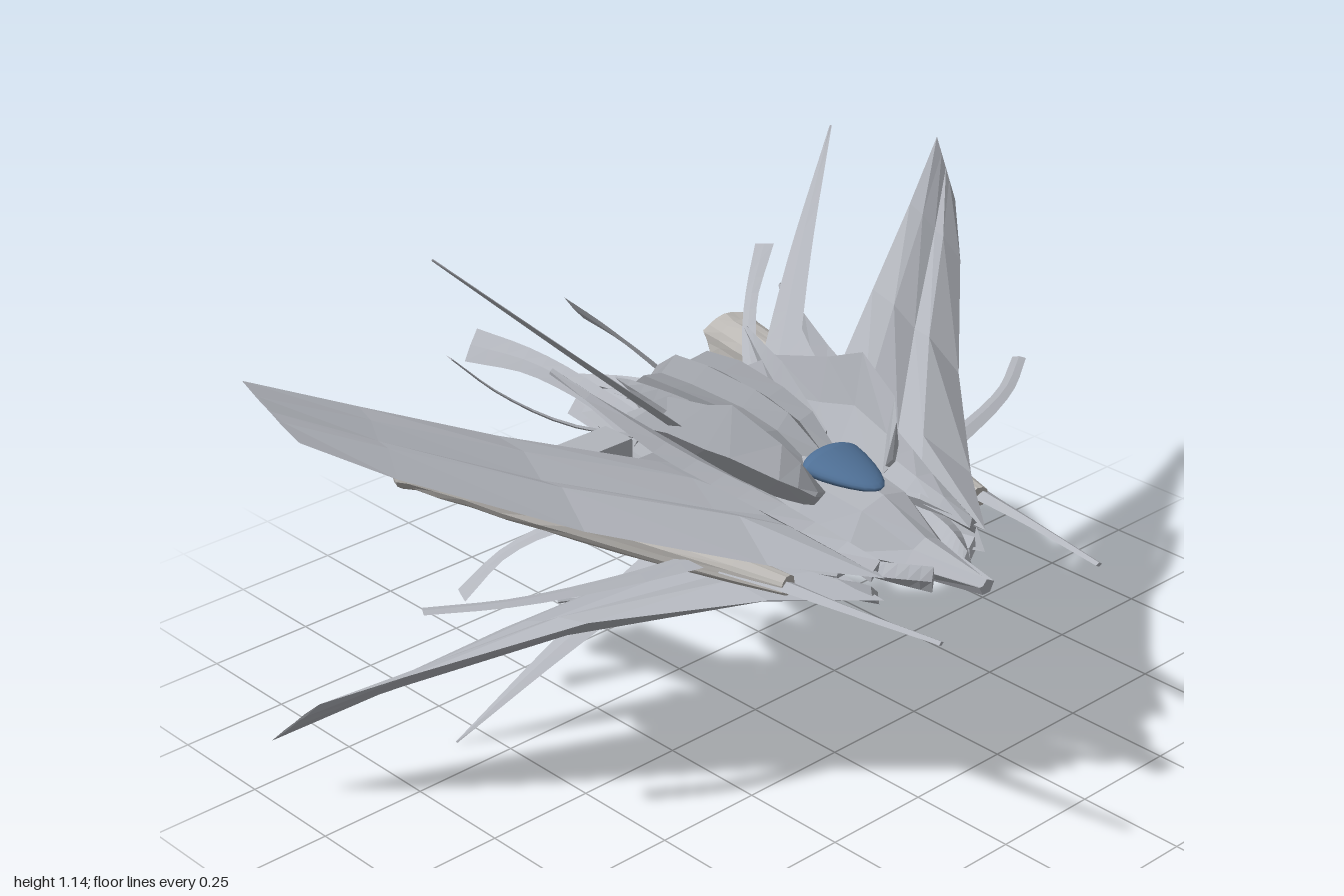
import * as THREE from 'three';

const MID = 0.57; // height of the plane the wings mirror across
const material = (color) => new THREE.MeshStandardMaterial({ color, flatShading: true, side: THREE.DoubleSide });
const hull = material(0xb2b5bc);
const bark = material(0xbab7b3);
const glass = new THREE.MeshStandardMaterial({ color: 0x4f7096 });
const glow = material(0x10d0e0);
const dark = material(0x9c9fa5);

const V = (p) => new THREE.Vector3(...p);
const BOTH = [[1, 1], [-1, 1]];
const QUAD = [[1, 1], [-1, 1], [1, -1], [-1, -1]];

// Skin closed loops of points, cap the ends, and face everything outwards
function loft(sections) {
  const tris = [];
  const n = sections[0].length;
  for (let s = 0; s < sections.length - 1; s++) {
    for (let i = 0; i < n; i++) {
      const j = (i + 1) % n, a = sections[s], b = sections[s + 1];
      tris.push([a[i], a[j], b[j]], [a[i], b[j], b[i]]);
    }
  }
  const first = sections[0], last = sections[sections.length - 1];
  for (let i = 1; i < n - 1; i++) {
    tris.push([first[0], first[i + 1], first[i]], [last[0], last[i], last[i + 1]]);
  }
  let volume = 0;
  const o = first[0];
  for (const [a, b, c] of tris) {
    volume += a.clone().sub(o).dot(b.clone().sub(o).cross(c.clone().sub(o)));
  }
  const pts = tris.flatMap(([a, b, c]) => (volume < 0 ? [a, c, b] : [a, b, c]));
  const geometry = new THREE.BufferGeometry().setFromPoints(pts);
  geometry.computeVertexNormals();
  return geometry;
}

const mirror = (sections, [sx, sy]) => sections.map((s) =>
  s.map((p) => new THREE.Vector3(p.x * sx, MID + (p.y - MID) * sy, p.z)));

// Diamond-section blade swept along a curve, with half widths spread along it
function bladeSections(path, widths, dir, thick, steps = 10) {
  const curve = new THREE.CatmullRomCurve3(path.map(V));
  const d = V(dir).normalize();
  return Array.from({ length: steps + 1 }, (_, i) => {
    const t = i / steps, f = t * (widths.length - 1), k = Math.min(Math.floor(f), widths.length - 2);
    const w = THREE.MathUtils.lerp(widths[k], widths[k + 1], f - k);
    const c = curve.getPoint(t), tangent = curve.getTangent(t);
    const side = d.clone().addScaledVector(tangent, -d.dot(tangent)).normalize();
    const up = tangent.clone().cross(side).multiplyScalar(thick * (1 - 0.7 * t));
    side.multiplyScalar(w);
    return [c.clone().add(side), c.clone().add(up), c.clone().sub(side), c.clone().sub(up)];
  });
}

// Wing: each station has a leading point, a trailing point and a thickness
function wingSections(stations) {
  return stations.map(([lead, trail, thick]) => {
    const a = V(lead), b = V(trail);
    const at = (t, dy) => a.clone().lerp(b, t).add(new THREE.Vector3(-dy * 0.4, dy, 0));
    return [a, at(0.3, thick), at(0.5, thick * 0.2), at(0.72, thick * 0.7), b,
      at(0.72, -thick * 0.5), at(0.5, -thick * 0.4), at(0.3, -thick * 0.7)];
  });
}

export function createModel() {
  const group = new THREE.Group();
  const add = (name, geometry, mat = hull) => {
    const mesh = new THREE.Mesh(geometry, mat);
    mesh.name = name;
    group.add(mesh);
    return mesh;
  };
  const addMirrored = (name, sections, signs, mat = hull) =>
    signs.forEach((s) => add(name, loft(mirror(sections, s)), mat));
  const addBox = (name, size, pos, mat = hull) => BOTH.forEach(([sx]) =>
    add(name, new THREE.BoxGeometry(...size), mat).position.set(pos[0] * sx, pos[1], pos[2]));

  // Fuselage: z, half width, top, bottom
  const body = [[0.67, 0.022, 0.592, 0.56], [0.5, 0.06, 0.622, 0.545], [0.38, 0.105, 0.675, 0.53],
    [0.24, 0.125, 0.695, 0.5], [0.05, 0.13, 0.715, 0.5], [-0.2, 0.12, 0.7, 0.5],
    [-0.36, 0.095, 0.66, 0.52], [-0.5, 0.06, 0.62, 0.55]];
  add('fuselage', loft(body.map(([z, w, t, b]) => [[w, 0.58], [w * 0.6, t - 0.015], [0, t],
    [-w * 0.6, t - 0.015], [-w, 0.58], [-w * 0.5, b], [w * 0.5, b]].map(([x, y]) => V([x, y, z])))));

  // Raised spine behind the cockpit
  const spine = [[0.2, 0.045, 0.71], [0.1, 0.065, 0.765], [0, 0.075, 0.785], [-0.15, 0.09, 0.792],
    [-0.25, 0.085, 0.785], [-0.31, 0.06, 0.74], [-0.36, 0.05, 0.67]];
  add('spine', loft(spine.map(([z, w, t]) => [[w, 0.62], [w * 1.1, t - 0.02], [w * 0.5, t - 0.03],
    [0, t], [-w * 0.5, t - 0.03], [-w * 1.1, t - 0.02], [-w, 0.62]].map(([x, y]) => V([x, y, z])))), dark);
  addMirrored('tailProng', bladeSections([[0.06, 0.64, -0.2], [0.05, 0.63, -0.42], [0.018, 0.6, -0.62]],
    [0.05, 0.045, 0.008], [1, 0, 0], 0.04), BOTH);

  // Teardrop canopy, blunt behind and pointed in front
  const canopyGeometry = new THREE.SphereGeometry(1, 24, 16);
  const cp = canopyGeometry.attributes.position;
  for (let i = 0; i < cp.count; i++) {
    const z = cp.getZ(i), taper = z > 0 ? 1 - 0.3 * z : 1;
    cp.setXYZ(i, cp.getX(i) * 0.077 * taper, cp.getY(i) * 0.03 * taper, z * (z > 0 ? 0.145 : 0.04));
  }
  canopyGeometry.computeVertexNormals();
  const canopy = add('canopy', canopyGeometry, glass);
  canopy.position.set(0, 0.7, 0.23);
  canopy.rotation.x = 0.1;

  // Four swept main wings
  addMirrored('mainWing', wingSections([
    [[0.15, 0.595, 0.53], [0.07, 0.625, 0.0], 0.015],
    [[0.3, 0.61, 0.35], [0.25, 0.69, -0.03], 0.035],
    [[0.55, 0.675, 0.08], [0.55, 0.795, -0.19], 0.03],
    [[0.82, 0.795, -0.17], [0.8, 0.9, -0.315], 0.018],
    [[0.95, 0.87, -0.31], [1.0, 0.985, -0.42], 0.004]]), QUAD);

  // Pointed shoulder wing rising inside each main wing
  addMirrored('shoulderWing', bladeSections([[0.145, 0.597, 0.5], [0.17, 0.65, 0.22], [0.23, 0.71, 0],
    [0.335, 0.845, -0.27]], [0.01, 0.06, 0.065, 0.004], [1, 0.4, 0], 0.025), QUAD);

  // Upright panels flanking the cockpit
  const panel = [[0.3, 0.675, 0.69, 0.11], [0.28, 0.65, 0.76, 0.14], [0.25, 0.64, 0.8, 0.165],
    [0.13, 0.62, 0.855, 0.19], [0.04, 0.62, 0.82, 0.175], [-0.1, 0.62, 0.785, 0.155], [-0.27, 0.63, 0.68, 0.125]];
  addMirrored('cockpitPanel', panel.map(([z, low, high, x]) => [[0.1, low], [x - 0.022, (low + high) / 2],
    [x, high], [x + 0.008, (low + high) / 2]].map(([px, y]) => V([px, y, z]))), BOTH);
  addMirrored('spineFeather', bladeSections([[0.1, 0.66, 0.1], [0.14, 0.74, -0.08], [0.19, 0.8, -0.23]],
    [0.04, 0.05, 0.004], [0, 1, 0.3], 0.015), BOTH);

  // Rounded lobes beneath the hull
  const lobe = [[0.4, 0.02, 0.56, 0.54], [0.25, 0.05, 0.57, 0.48], [0.1, 0.06, 0.58, 0.43],
    [-0.15, 0.06, 0.58, 0.43], [-0.3, 0.03, 0.58, 0.45], [-0.4, 0.008, 0.57, 0.54]];
  addMirrored('bellyLobe', lobe.map(([z, w, t, b]) => [[-w, t], [w, t], [w * 1.2, (t + b) / 2],
    [w * 0.7, b], [-w * 0.3, b + 0.01], [-w, (t + b) / 2]].map(([x, y]) => V([0.13 + x, y, z]))), BOTH);

  // Straight spikes, curled strands and tail blades, above and below
  addMirrored('longSpike', bladeSections([[0.13, 0.7, -0.08], [0.35, 0.92, -0.225], [0.57, 1.14, -0.35]],
    [0.055, 0.03, 0.003], [0, 0, 1], 0.008), QUAD);
  addMirrored('curledStrand', bladeSections([[0.14, 0.67, -0.12], [0.27, 0.69, -0.3], [0.37, 0.76, -0.4],
    [0.46, 0.855, -0.45]], [0.035, 0.018, 0.016, 0.024], [0.6, 0.4, 1], 0.005), QUAD);
  addMirrored('tailBlade', bladeSections([[0.09, 0.62, -0.26], [0.1, 0.665, -0.42], [0.12, 0.69, -0.6],
    [0.153, 0.687, -0.77]], [0.035, 0.024, 0.028, 0.04], [-0.62, 0.8, 0], 0.007), QUAD);

  // Side whiskers and struts joining nose to wing
  addMirrored('sideWhisker', bladeSections([[0.2, 0.575, 0.22], [0.5, 0.575, 0.15], [0.72, 0.575, 0.07],
    [0.88, 0.575, -0.03]], [0.04, 0.025, 0.018, 0.016], [0.4, 0, 1], 0.009), BOTH);
  addMirrored('noseStrut', bladeSections([[0.05, 0.57, 0.57], [0.11, 0.575, 0.46], [0.16, 0.58, 0.3]],
    [0.01, 0.03, 0.04], [1, 0, 0.5], 0.03), BOTH);

  // Rough cannon: radius and distance back, ending in a hollow muzzle
  const profile = [[0, -0.4], [0.022, -0.4], [0.032, -0.28], [0.042, -0.12], [0.047, 0], [0.051, 0.12],
    [0.053, 0.2], [0.058, 0.3], [0.055, 0.4], [0.06, 0.48], [0.06, 0.55], [0.066, 0.59], [0.06, 0.605],
    [0.046, 0.595], [0.04, 0.52], [0, 0.5]];
  const hash = (a, b) => { const s = Math.sin(a * 12.99 + b * 78.23) * 43758.5; return s - Math.floor(s); };
  BOTH.forEach(([sx]) => {
    const geometry = new THREE.LatheGeometry(profile.map(([r, y]) => new THREE.Vector2(r, y)), 20);
    const p = geometry.attributes.position, rows = profile.length;
    for (let i = 0; i < p.count; i++) {
      const column = Math.floor(i / rows) % 20, row = i % rows;
      const k = 0.93 + 0.14 * hash(column, 1) + 0.06 * hash(column, row);
      const rim = row > 10 && row < 14 ? (hash(column, 3) - 0.5) * 0.03 : 0;
      p.setXYZ(i, p.getX(i) * k, p.getY(i) + rim, p.getZ(i) * k);
    }
    geometry.rotateX(-Math.PI / 2);
    geometry.rotateY(-sx * 0.197);
    geometry.computeVertexNormals();
    add('cannon', geometry, bark).position.set(sx * 0.362, 0.575, 0);
  });
  addMirrored('cannonProng', bladeSections([[0.31, 0.575, 0.25], [0.29, 0.575, 0.4], [0.27, 0.575, 0.55],
    [0.234, 0.575, 0.765]], [0.04, 0.022, 0.013, 0.008], [1, 0, 0], 0.016), BOTH);

  // Cannon mounts with glowing inserts
  addBox('cannonMount', [0.15, 0.18, 0.085], [0.305, 0.61, -0.178]);
  addBox('mountBlock', [0.1, 0.11, 0.1], [0.3, 0.595, 0.01]);
  addBox('mountArm', [0.24, 0.06, 0.2], [0.2, 0.575, -0.1], dark);
  addBox('glowInsert', [0.028, 0.09, 0.08], [0.297, 0.6, -0.095], glow);

  return group;
}
